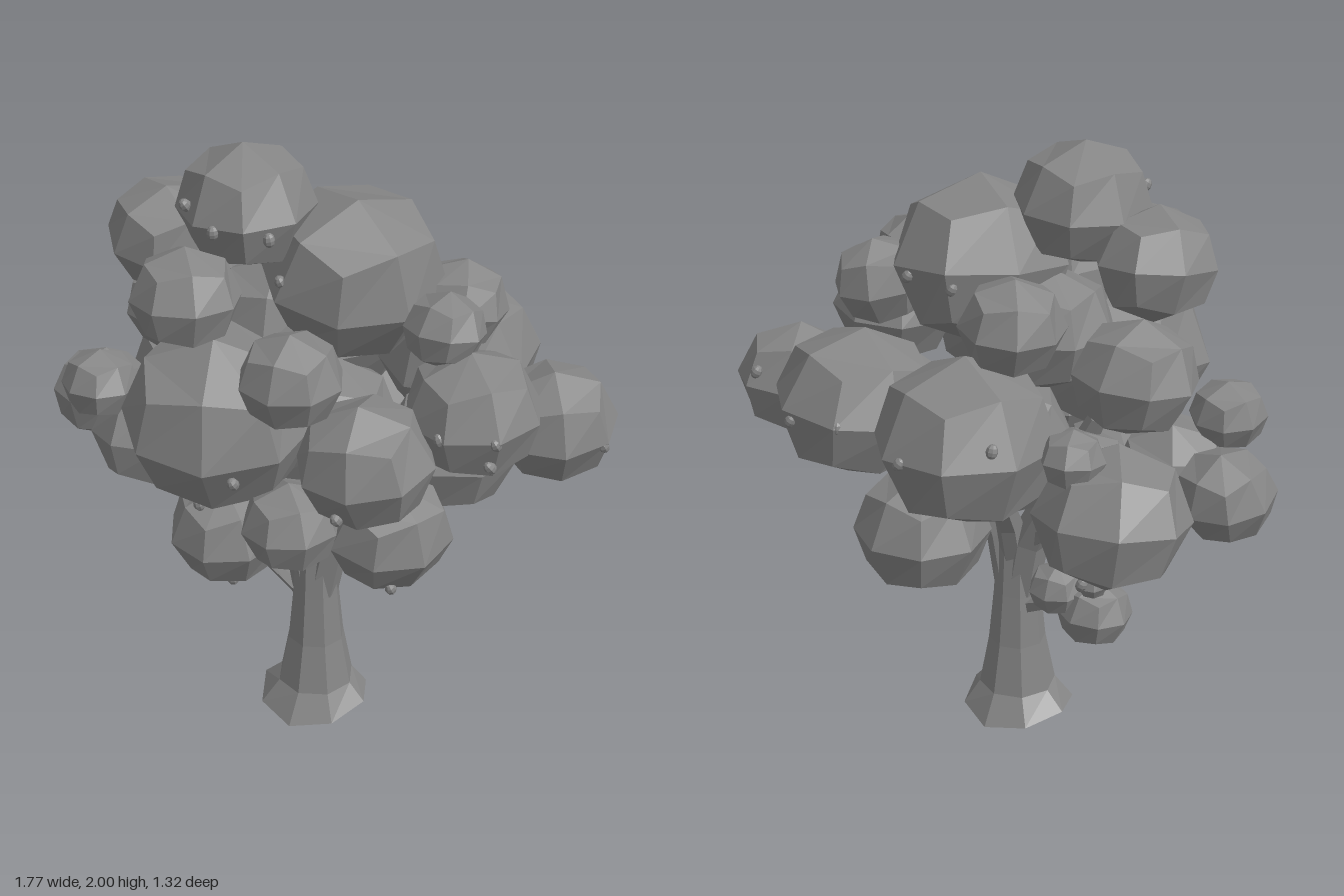
import * as THREE from 'three';

const material = new THREE.MeshStandardMaterial({ color: 0x858585, flatShading: true });

// leaf clumps: x, y, z, radius
const CROWN = [
  // top
  [-0.175, 1.81, 0.13, 0.2], [0.11, 1.6, 0, 0.27], [-0.43, 1.67, 0.15, 0.18],
  [-0.25, 1.6, 0.37, 0.16], [0.45, 1.53, 0.09, 0.118], [0.13, 1.46, 0.44, 0.15],
  [-0.2, 1.54, -0.24, 0.155], [0.4, 1.5, -0.13, 0.145],
  // middle
  [-0.14, 1.24, 0.38, 0.285], [0.34, 1.21, 0.38, 0.2], [0.56, 1.3, 0.12, 0.2],
  [0.69, 1.12, -0.22, 0.19], [-0.47, 1.37, 0, 0.185], [-0.46, 1.21, -0.29, 0.095],
  [-0.14, 1.21, -0.38, 0.268], [0.31, 1.2, -0.36, 0.245], [-0.61, 1.18, 0.3, 0.115],
  // bottom
  [0.13, 0.97, 0.45, 0.145], [0.33, 0.87, 0.2, 0.195], [-0.13, 0.83, 0.37, 0.175],
  [-0.49, 0.985, 0.2, 0.185], [-0.73, 1.02, 0.11, 0.15], [-0.54, 1.01, -0.2, 0.23],
  [0.41, 1.03, -0.08, 0.205], [0.02, 0.87, -0.4, 0.2], [-0.36, 0.82, 0, 0.125],
  // inner filling
  [-0.12, 1.42, 0.04, 0.2], [0, 1.02, -0.04, 0.23], [-0.28, 0.99, 0, 0.15],
];
const SPRIG = [[-0.32, 0.5, 0.03, 0.115], [-0.21, 0.57, -0.02, 0.09], [-0.33, 0.62, 0, 0.05]];

// rough nut positions, snapped to the closest clump
const NUTS = [
  [-0.31, 1.85, 0.3], [-0.18, 1.8, 0.34], [-0.02, 1.78, 0.27], [-0.02, 1.64, 0.24],
  [-0.39, 1.4, 0.16], [0.04, 1.15, 0.62], [0.32, 1.08, 0.55], [0.54, 1.3, 0.31],
  [0.69, 1.3, 0.26], [0.86, 1.1, -0.18], [0.71, 1.2, -0.41], [-0.14, 1.0, 0.52],
  [0.39, 0.74, 0.3], [-0.1, 1.22, -0.64], [0.19, 1.22, -0.59], [0.37, 1.2, -0.6],
  [-0.32, 1.28, -0.5], [0.02, 1.6, -0.25], [0.19, 1.6, -0.25], [0.69, 1.2, 0.27],
  [-0.1, 0.68, 0.4], [-0.5, 0.8, -0.3],
];

function seeded(seed) {
  return () => {
    seed = (seed * 16807) % 2147483647;
    return seed / 2147483647;
  };
}

// unit ball made by rounding a subdivided cube
function clumpGeometry() {
  const g = new THREE.BoxGeometry(2, 2, 2, 2, 2, 2);
  const p = g.attributes.position;
  const v = new THREE.Vector3();
  for (let i = 0; i < p.count; i++) {
    v.fromBufferAttribute(p, i).normalize();
    p.setXYZ(i, v.x, v.y, v.z);
  }
  return g;
}

// tapered limb: points are [x, y, z, radius]
function limb(name, points, sides, level = false) {
  const g = new THREE.CylinderGeometry(1, 1, 1, sides, points.length - 1);
  const p = g.attributes.position;
  const centres = points.map(([x, y, z]) => new THREE.Vector3(x, y, z));
  const up = new THREE.Vector3(0, 1, 0);
  const last = points.length - 1;
  const v = new THREE.Vector3();
  for (let i = 0; i < p.count; i++) {
    const k = Math.round((p.getY(i) + 0.5) * last);
    v.set(p.getX(i), 0, p.getZ(i)).multiplyScalar(points[k][3]);
    if (!level) {
      const dir = centres[Math.min(k + 1, last)].clone().sub(centres[Math.max(k - 1, 0)]).normalize();
      v.applyQuaternion(new THREE.Quaternion().setFromUnitVectors(up, dir));
    }
    v.add(centres[k]);
    // the foot arches up between its front and back
    if (level && k === 0) v.y += 0.04 * (1 - p.getZ(i) ** 2);
    p.setXYZ(i, v.x, v.y, v.z);
  }
  const mesh = new THREE.Mesh(g, material);
  mesh.name = name;
  return mesh;
}

function clumps(name, list, geometry, random) {
  const group = new THREE.Group();
  group.name = name;
  for (const [x, y, z, r] of list) {
    const holder = new THREE.Group();
    const mesh = new THREE.Mesh(geometry, material);
    mesh.name = 'leafClump';
    mesh.rotation.set((random() - 0.5) * 0.3, random() * Math.PI, (random() - 0.5) * 0.3);
    holder.add(mesh);
    holder.position.set(x, y, z);
    holder.scale.set(r * 1.05, r * 0.97, r * 1.05);
    group.add(holder);
  }
  return group;
}

export function createModel() {
  const tree = new THREE.Group();
  tree.name = 'tree';
  const random = seeded(41);

  // trunk and branches
  tree.add(limb('trunk', [
    [0.01, 0, 0.062, 0.183], [0.015, 0.1, 0.062, 0.126], [0.015, 0.27, 0.06, 0.094],
    [0.015, 0.45, 0.06, 0.077], [0.015, 0.57, 0.06, 0.07], [0.015, 0.64, 0.06, 0.066],
  ], 8, true));
  tree.add(limb('rightFork', [[0, 0.46, 0.06, 0.062], [-0.035, 0.65, 0.06, 0.063], [-0.12, 0.82, 0.06, 0.055], [-0.28, 1.15, 0.08, 0.03]], 6));
  tree.add(limb('leftFork', [[0.03, 0.46, 0.06, 0.062], [0.07, 0.65, 0.06, 0.06], [0.13, 0.81, 0.05, 0.052], [0.22, 1.15, 0.02, 0.03]], 6));
  tree.add(limb('backBranch', [[0.01, 0.58, 0.04, 0.045], [0, 0.72, 0, 0.045], [-0.03, 0.95, -0.12, 0.03]], 6));
  tree.add(limb('sideBranch', [[-0.05, 0.66, 0.05, 0.035], [-0.17, 0.75, 0.03, 0.028], [-0.32, 0.84, 0, 0.02]], 5));
  tree.add(limb('sprigBranch', [[-0.02, 0.4, 0.05, 0.03], [-0.1, 0.44, 0.04, 0.024], [-0.17, 0.475, 0.03, 0.02], [-0.28, 0.5, 0.03, 0.014]], 5));

  // foliage
  const ball = clumpGeometry();
  tree.add(clumps('crown', CROWN, ball, random));
  tree.add(clumps('sprig', SPRIG, ball, random));

  // nuts resting on the foliage
  const nuts = new THREE.Group();
  nuts.name = 'nuts';
  const nutGeometry = new THREE.SphereGeometry(0.02, 8, 6);
  nutGeometry.scale(0.9, 1.15, 0.9);
  for (const at of NUTS) {
    const point = new THREE.Vector3(...at);
    let best = Infinity;
    const spot = new THREE.Vector3();
    for (const [x, y, z, r] of CROWN) {
      const centre = new THREE.Vector3(x, y, z);
      const gap = Math.abs(point.distanceTo(centre) - r);
      if (gap < best) {
        best = gap;
        spot.copy(point).sub(centre).setLength(r * 0.97).add(centre);
      }
    }
    const nut = new THREE.Mesh(nutGeometry, material);
    nut.name = 'nut';
    nut.position.copy(spot);
    nut.rotation.set(random() * 0.6, 0, random() * 0.6);
    nuts.add(nut);
  }
  tree.add(nuts);
  return tree;
}
